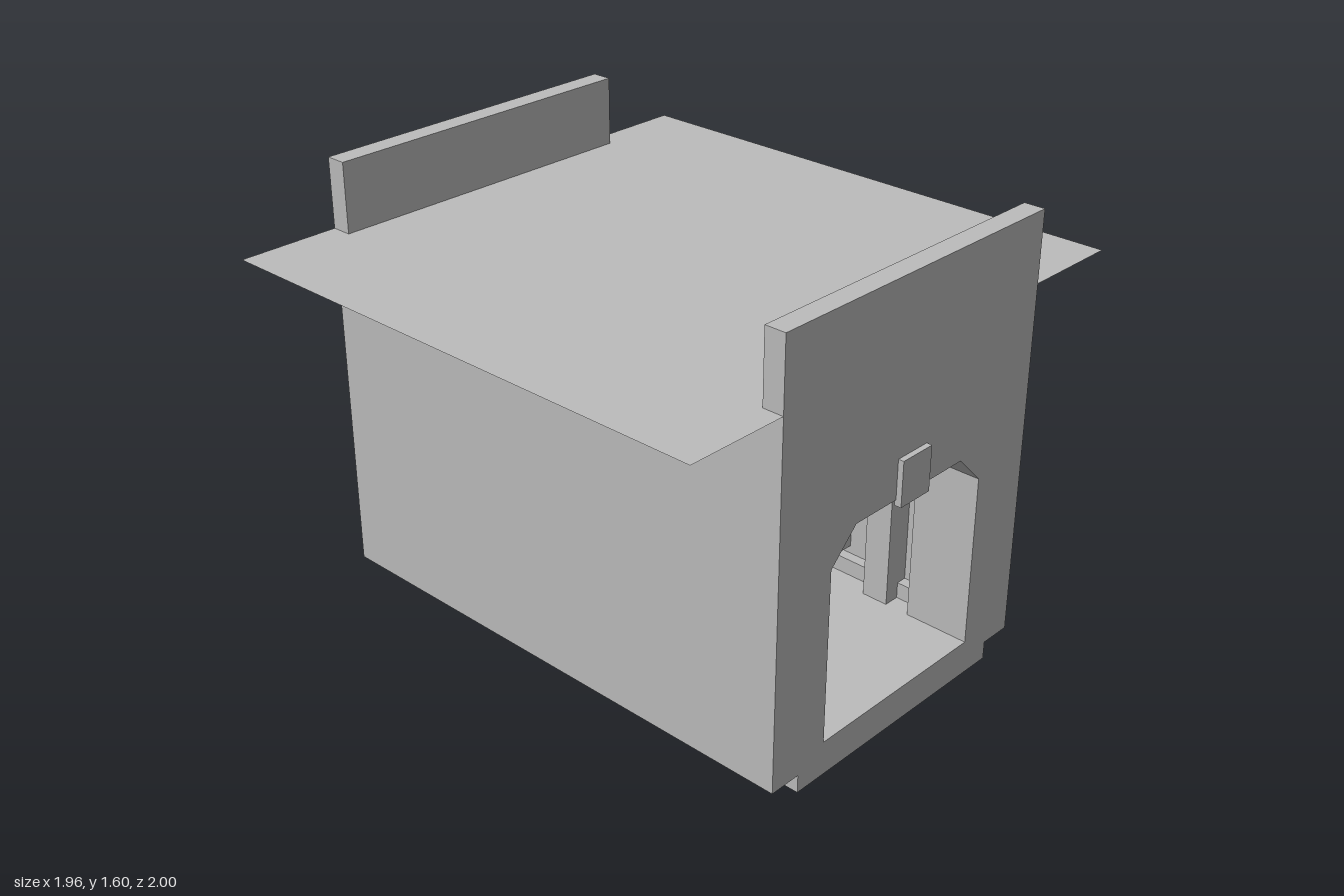
import * as THREE from 'three';

const stone = new THREE.MeshStandardMaterial({ color: 0xbcbcbc });
stone.name = 'stone grey';
const roofGrey = stone.clone();
roofGrey.name = 'roof grey';
roofGrey.side = THREE.DoubleSide;

const points = (list) => list.map(([x, y]) => new THREE.Vector2(x, y));

// Chamfered doorway outline, from one floor corner over the top to the other
const arch = (w, top, cut, floor = 0.125) => [
  [w, floor], [w, top - cut], [w - cut, top], [-w + cut, top], [-w, top - cut], [-w, floor],
];
const OPENING = arch(0.37, 0.86, 0.11);
const CHAMBER = arch(0.47, 0.97, 0.13);

// Outer cross-section: wide body on a narrower foot
function section(height, hole) {
  const shape = new THREE.Shape(points([
    [-0.49, 0], [0.49, 0], [0.49, 0.065], [0.61, 0.065],
    [0.61, height], [-0.61, height], [-0.61, 0.065], [-0.49, 0.065],
  ]));
  shape.holes.push(new THREE.Path(points(hole)));
  return shape;
}

export function createModel() {
  const model = new THREE.Group();
  model.name = 'tunnelSegment';

  const add = (parent, name, geometry, x = 0, y = 0, z = 0, material = stone) => {
    const mesh = new THREE.Mesh(geometry, material);
    mesh.name = name;
    mesh.position.set(x, y, z);
    parent.add(mesh);
    return mesh;
  };
  const extrude = (shape, depth) => new THREE.ExtrudeGeometry(shape, { depth, bevelEnabled: false });
  const box = (w, h, d) => new THREE.BoxGeometry(w, h, d);

  // Body with the wider chamber inside
  add(model, 'body', extrude(section(1.345, CHAMBER), 1.48), 0, 0, -0.74);

  // Thin roof sheet overhanging both sides
  const roof = add(model, 'roofSheet', new THREE.PlaneGeometry(1.96, 1.96), 0, 1.35, 0, roofGrey);
  roof.rotation.x = -Math.PI / 2;

  // Both ends alike, the back one turned half round
  for (const end of [0, 1]) {
    const portal = new THREE.Group();
    portal.name = end ? 'backPortal' : 'frontPortal';
    portal.rotation.y = end * Math.PI;
    add(portal, 'endWall', extrude(section(1.6, OPENING), 0.075), 0, 0, 0.905);
    add(portal, 'doorReveal', extrude(section(1.345, OPENING), 0.165), 0, 0, 0.74);
    add(portal, 'keystone', box(0.14, 0.16, 0.025), 0, 0.92, 0.9875);
    model.add(portal);
  }

  // Arched ribs along the chamber
  const rib = new THREE.Shape(points([...CHAMBER, ...OPENING.slice().reverse()]));
  for (const z of [-0.6, -0.14, 0.14, 0.6]) {
    add(model, 'rib', extrude(rib, 0.1), 0, 0, z - 0.05);
  }

  // Wall fittings on both sides
  for (const side of [-1, 1]) {
    add(model, 'wallLedge', box(0.04, 0.06, 1.48), side * 0.45, 0.155, 0);
    add(model, 'wallRail', box(0.03, 0.04, 1.48), side * 0.455, 0.66, 0);
    for (const z of [-0.35, 0, 0.35]) {
      add(model, 'wallBox', box(0.05, 0.13, 0.12), side * 0.445, 0.28, z);
    }
  }

  // Small ceiling lamps between the ribs
  for (const z of [-0.37, 0.37]) {
    add(model, 'ceilingLamp', box(0.12, 0.08, 0.06), 0, 0.93, z);
  }

  // Loose rubble on the floor: x, z, size, turn
  const rubble = [
    [-0.36, 0.65, 0.055, 0.3], [-0.4, 0.5, 0.05, 0.8],
    [0.35, -0.62, 0.05, 0.4], [0.325, -0.54, 0.05, 1.0], [0.37, -0.5, 0.055, 0.2],
  ];
  for (const [x, z, size, turn] of rubble) {
    const rock = add(model, 'rubble', box(size, 0.05, size * 1.3), x, 0.15, z);
    rock.rotation.set(0.1, turn, 0.08);
  }

  return model;
}
